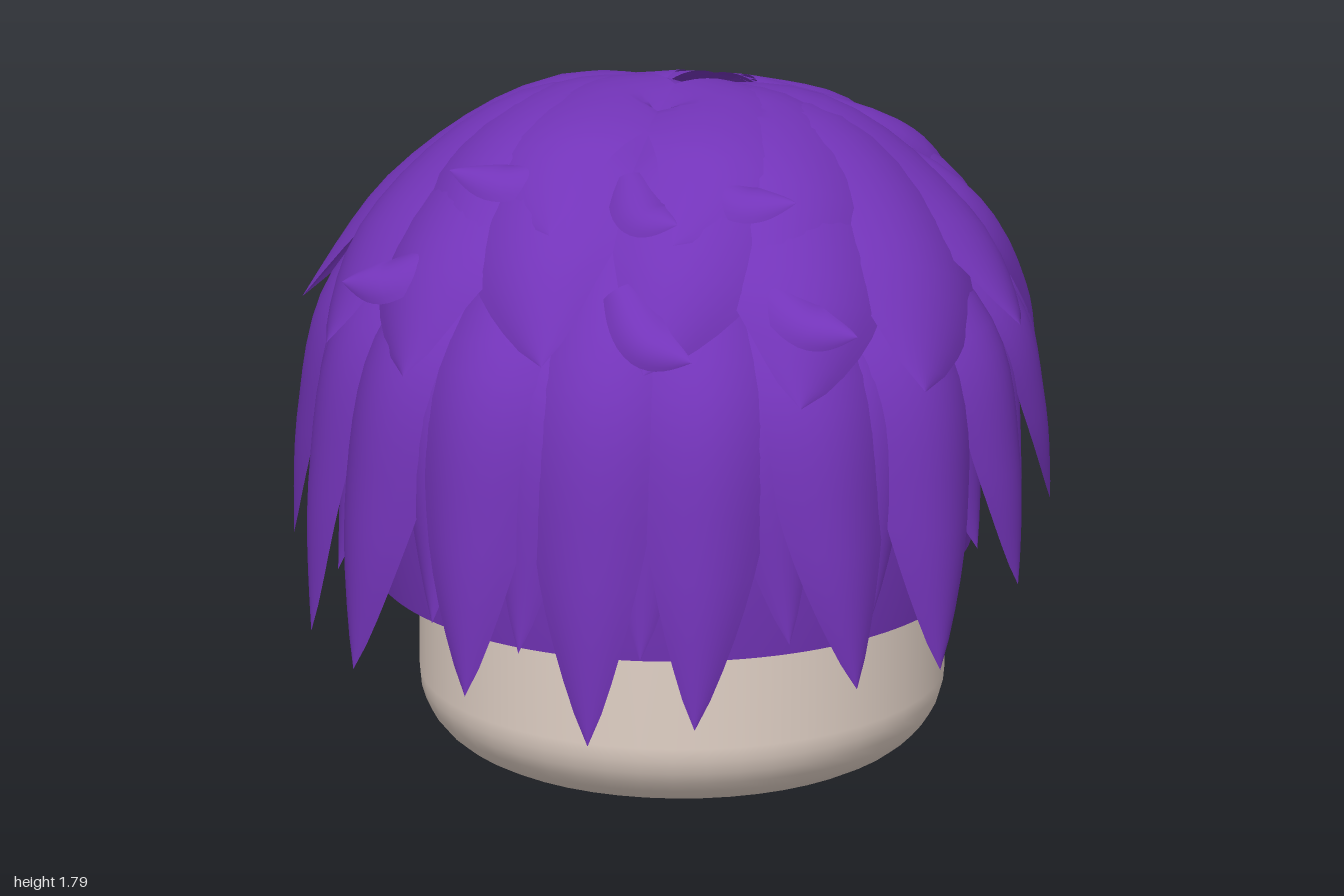
import * as THREE from 'three';

const V2 = (x, y) => new THREE.Vector2(x, y);
const rad = THREE.MathUtils.degToRad;

// Outline of the hair dome from crown to hem (radius, height)
const dome = new THREE.SplineCurve([
  V2(0, 1.74), V2(0.3, 1.69), V2(0.5, 1.6), V2(0.7, 1.43), V2(0.82, 1.26),
  V2(0.885, 1.08), V2(0.92, 0.9), V2(0.945, 0.6), V2(0.955, 0.3),
]);
const domeLength = dome.getLength();

// Point on the dome: angle from the front towards +x, distance down from the crown
function onDome(angle, down, lift = 0) {
  const p = dome.getPointAt(Math.min(down / domeLength, 1));
  const point = new THREE.Vector3(p.x * Math.sin(rad(angle)), p.y, p.x * Math.cos(rad(angle)));
  return point.addScaledVector(outward(point), lift);
}

function outward(p) {
  return new THREE.Vector3(p.x, Math.max(0, p.y - 0.85) * 0.95, p.z).normalize();
}

// Surface from a grid of points
function gridGeometry(rows, cols, pointAt) {
  const pos = [], index = [];
  for (let i = 0; i <= rows; i++) {
    for (let j = 0; j <= cols; j++) {
      const p = pointAt(i / rows, j / cols);
      pos.push(p.x, p.y, p.z);
      if (i < rows && j < cols) {
        const a = i * (cols + 1) + j, b = a + cols + 1;
        index.push(a, b, a + 1, b, b + 1, a + 1);
      }
    }
  }
  const g = new THREE.BufferGeometry();
  g.setAttribute('position', new THREE.Float32BufferAttribute(pos, 3));
  g.setIndex(index);
  g.computeVertexNormals();
  return g;
}

// Leaf-shaped lock along waypoints [angle, down, lift]; arch rounds the section,
// tilt raises one edge, a low taper makes the tip blunt
function lockGeometry(waypoints, width, { arch = 0.05, tilt = 0, taper = 0.85 } = {}) {
  const path = new THREE.CatmullRomCurve3(waypoints.map((w) => onDome(...w)));
  return gridGeometry(16, 10, (t, v) => {
    const c = path.getPoint(t), n = outward(c);
    const side = path.getTangent(t).cross(n).normalize();
    const u = v * 2 - 1;
    const shape = Math.pow(Math.max(0, Math.sin(Math.PI * (0.22 + 0.78 * t))), taper);
    const w = width * shape;
    const height = arch * shape * (0.6 - u * u) - u * u * w * w * 0.55 + u * tilt * shape;
    return c.addScaledVector(side, u * w).addScaledVector(n, height);
  });
}

// Height of the lock tips around the head
const tipKeys = [[-180, 0.75], [-140, 0.57], [-100, 0.58], [-60, 0.44], [0, 0.35],
  [50, 0.42], [90, 0.6], [120, 0.7], [150, 0.8], [180, 0.75]];
function tipHeight(angle) {
  const k = Math.max(1, tipKeys.findIndex((e) => e[0] >= angle));
  const [a, b] = [tipKeys[k - 1], tipKeys[k]];
  return THREE.MathUtils.mapLinear(angle, a[0], b[0], a[1], b[1]);
}

export function createModel() {
  const hair = new THREE.MeshStandardMaterial({ color: 0x7334b9, side: THREE.DoubleSide });
  hair.name = 'purple hair';
  const skin = new THREE.MeshStandardMaterial({ color: 0xe0d0c5 });
  skin.name = 'pale beige';

  const model = new THREE.Group();
  const add = (parent, name, geometry, material) => {
    const m = new THREE.Mesh(geometry, material);
    m.name = name;
    parent.add(m);
    return m;
  };
  const group = (name) => {
    const g = new THREE.Group();
    g.name = name;
    model.add(g);
    return g;
  };

  // Head: cylinder with rounded rims
  const outline = [V2(0, 0)];
  for (const [centre, start] of [[0.19, -Math.PI / 2], [1.16, 0]]) {
    for (let i = 0; i <= 8; i++) {
      const a = start + (i / 8) * Math.PI / 2;
      outline.push(V2(0.48 + 0.195 * Math.cos(a), centre + 0.19 * Math.sin(a)));
    }
  }
  outline.push(V2(0, 1.35));
  add(model, 'head', new THREE.LatheGeometry(outline, 48), skin).position.z = -0.08;

  // Open cap under the locks: domed top, hem stepping up towards the back
  const hem = (a) => (a < 84 ? 0.49 : a < 110 ? 0.58 : a < 118 ? 0.66 : a < 128 ? 0.8 : a < 138 ? 0.9 : 0.98);
  const rim = dome.getPointAt(0.465);
  add(model, 'hairCap', gridGeometry(16, 360, (t, v) => {
    const angle = v * 360 - 180, bottom = hem(Math.abs(angle));
    let r, y;
    if (t <= 0.75) {
      const p = dome.getPointAt(t / 0.75 * 0.465);
      [r, y] = [p.x * 0.93, p.y - 0.04];
    } else {
      const k = (t - 0.75) / 0.25;
      y = THREE.MathUtils.lerp(rim.y - 0.04, bottom, k);
      r = THREE.MathUtils.lerp(rim.x * 0.93, 0.77, k) + 0.05 * Math.sin(Math.PI * k);
    }
    return new THREE.Vector3(r * Math.sin(rad(angle)), y, r * Math.cos(rad(angle)));
  }), hair);

  // Long hanging locks: an overlapping outer ring and a shorter ring in the gaps
  const downTo = (y) => domeLength - (y - 0.3);
  const outer = group('longLocks'), inner = group('underLocks');
  const count = 18;
  for (let i = 0; i < count; i++) {
    const angle = -177 + i * (360 / count);
    const back = Math.abs(angle) > 115;
    const sway = Math.sin(i * 2.4) * 3;
    const tip = tipHeight(angle) + 0.04 * Math.sin(i * 4.1);
    const bend = back ? 9 : 1;
    const top = back ? 0.5 : 0.62;
    const lift = back ? 0.035 : 0.02;
    add(outer, 'longLock', lockGeometry([
      [angle - bend, top, 0.01], [angle + bend * 0.4, 1.05, lift],
      [angle + sway * 0.4, (1.05 + downTo(tip)) / 2, lift], [angle + sway, downTo(tip), 0.03],
    ], 0.18, { arch: 0.055, tilt: i % 3 === 0 ? -0.012 : 0.012 }), hair);
    const gap = angle + 180 / count;
    add(inner, 'underLock', lockGeometry([
      [gap, 0.7, -0.03], [gap, 1.1, -0.01], [gap - sway, downTo(tipHeight(gap) + 0.18), -0.01],
    ], 0.16, { arch: 0.05 }), hair);
  }

  // Short overlapping locks sweeping over the back from a low whorl
  const backLocks = group('backLocks');
  for (let i = 0; i < 9; i++) {
    const angle = 122 + i * 14.5;
    add(backLocks, 'backLock', lockGeometry([
      [180 + (angle - 180) * 0.6, 0.45, 0.01], [angle - 5, 0.8, 0.05],
      [angle + 4, 1.15 + 0.06 * Math.sin(i * 3), 0.06],
      [angle + 1, 1.4 + 0.07 * Math.sin(i * 2.2), 0.05],
    ], 0.15, { tilt: 0.012 }), hair);
  }
  for (let i = 0; i < 5; i++) {
    const angle = 136 + i * 22;
    add(backLocks, 'whorlLock', lockGeometry([
      [180 + (angle - 180) * 0.3, 0.44, 0.02], [angle, 0.66, 0.06],
      [angle + 6, 0.86, 0.07], [angle + 3, 1.08, 0.07],
    ], 0.15, { arch: 0.045, tilt: 0.012 }), hair);
  }

  // Broad petals from the parting, layered like nested hearts
  const petals = group('crownPetals');
  for (const s of [-1, 1]) {
    const petal = (name, points, width, arch) => add(petals, name,
      lockGeometry(points.map(([a, d, l]) => [a * s + 3, d, l]), width, { arch, taper: 0.75 }), hair);
    petal('sidePetal', [[100, 0.03, 0.01], [112, 0.4, 0.03], [98, 0.8, 0.045], [86, 1.1 - s * 0.04, 0.1]], 0.34, 0.06);
    petal('templePetal', [[80, 0.05, 0.015], [86, 0.4, 0.04], [70, 0.8, 0.05], [58, 1.1, 0.08]], 0.33, 0.06);
    petal('browPetal', [[60, 0.06, 0.02], [52, 0.42, 0.04], [42, 0.8, 0.055], [35, 1.08, 0.07]], 0.28, 0.06);
    petal('fringePetal', [[35, 0.08, 0.025], [28, 0.4, 0.05], [17, 0.7, 0.06], [9, 0.98, 0.06]], 0.25, 0.06);
    petal('crownPetal', [[110, 0.04, 0.03], [85, 0.28, 0.045], [50, 0.5, 0.07], [36, 0.84, 0.075]], 0.29, 0.05);
    petal('topPetal', [[150, 0.08, 0.04], [75, 0.18, 0.052], [34, 0.4, 0.08], [14, 0.66, 0.1]], 0.26, 0.04);
  }

  // Small upturned tufts along the fringe
  const tufts = group('frontTufts');
  for (const [angle, down, turn] of [[-20, 0.52, -24], [2, 0.55, 16], [26, 0.52, 20],
    [-38, 0.86, -12], [6, 0.88, 14], [36, 0.86, 12]]) {
    add(tufts, 'tuft', lockGeometry([
      [angle, down - 0.12, 0.05], [angle + turn * 0.5, down + 0.03, 0.1], [angle + turn, down + 0.08, 0.15],
    ], 0.07, { arch: 0.03 }), hair);
  }

  return model;
}
